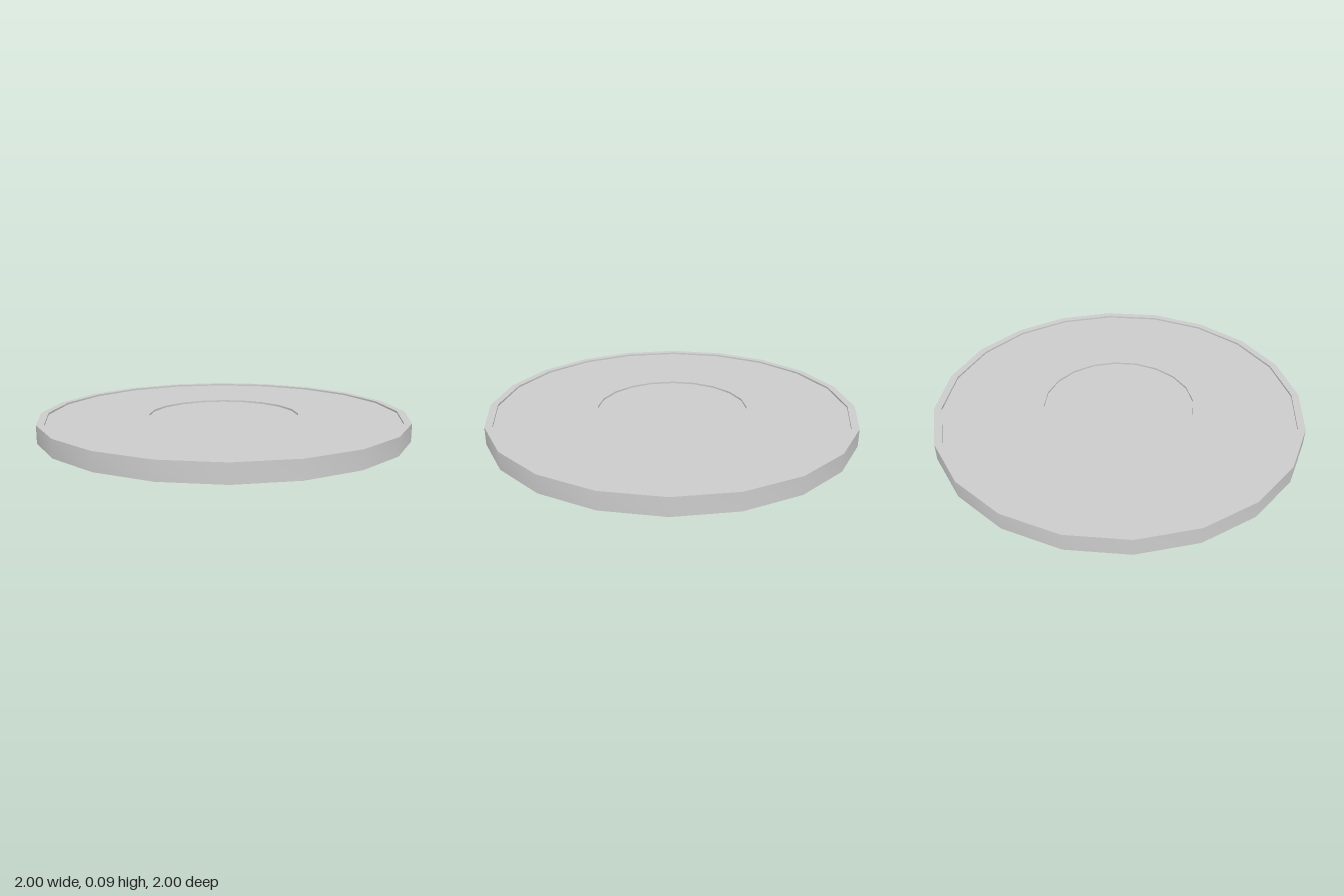
import * as THREE from 'three';
import { toCreasedNormals } from 'three/addons/utils/BufferGeometryUtils.js';

const SIDES = 20;

export function createModel() {
  const group = new THREE.Group();
  group.name = 'plate';
  const material = new THREE.MeshStandardMaterial({ color: 0xcccccc });

  // Revolve a [radius, height] profile; round walls stay smooth, rims stay sharp
  function addRing(name, profile) {
    const points = profile.map(([r, y]) => new THREE.Vector2(r, y));
    const geometry = toCreasedNormals(new THREE.LatheGeometry(points, SIDES), Math.PI / 5);
    const mesh = new THREE.Mesh(geometry, material);
    mesh.name = name;
    group.add(mesh);
  }

  // Flat underside, outer wall and the thin raised lip
  addRing('baseAndRim', [[0, 0], [1, 0], [1, 0.095], [0.96, 0.095], [0.96, 0.085]]);

  // Slightly sunken top surface with a shallow round well in the middle
  addRing('topSurface', [[0.96, 0.085], [0.41, 0.085], [0.41, 0.075]]);
  addRing('centreWell', [[0.41, 0.075], [0, 0.075]]);

  return group;
}
